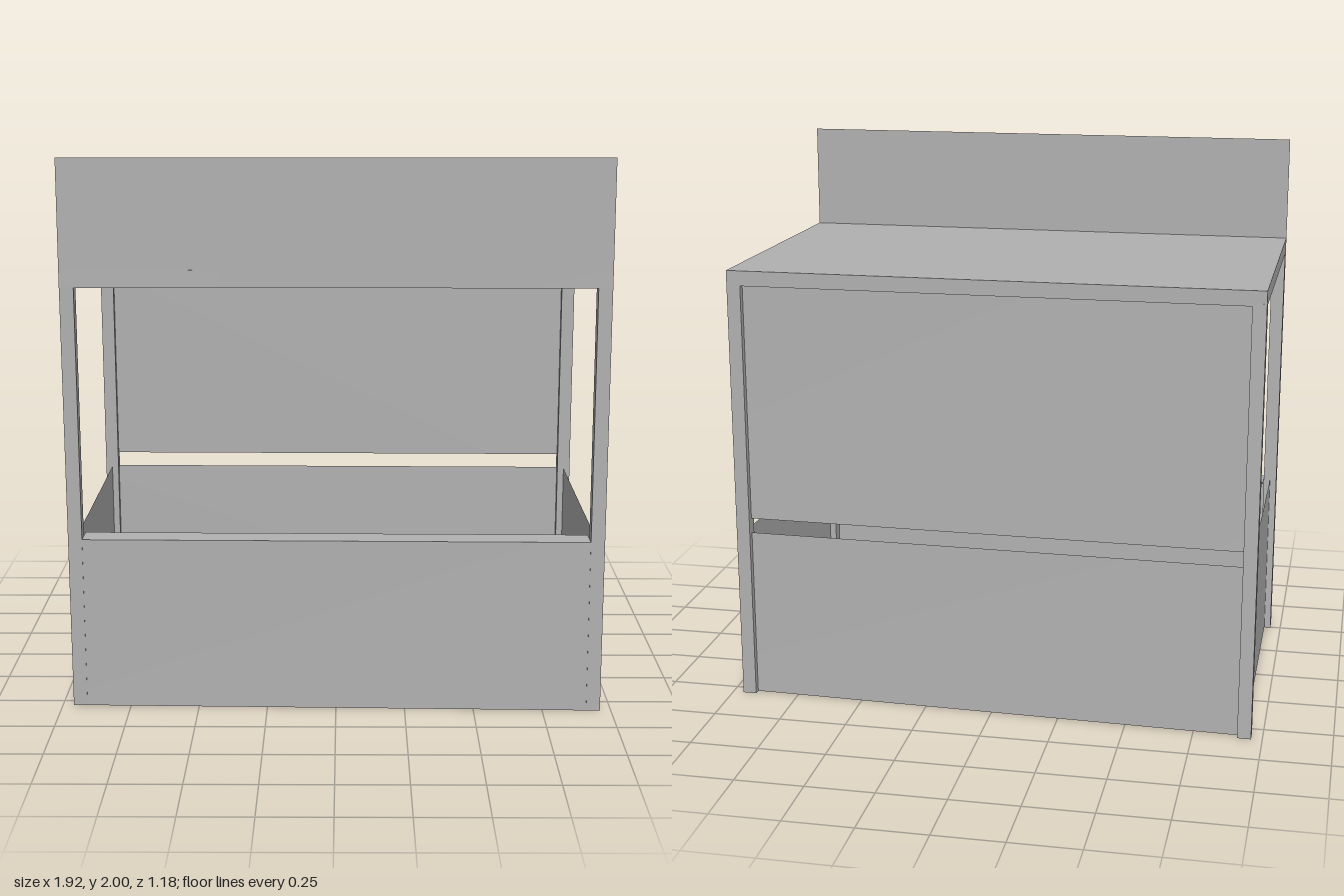
import * as THREE from 'three';

export function createModel() {
  const model = new THREE.Group();
  model.name = 'marketStall';
  const grey = new THREE.MeshStandardMaterial({ color: 0xb2b2b2, side: THREE.DoubleSide });
  grey.name = 'plain grey';

  const W = 0.96, FRONT = 0.59, BACK = -0.545, T = 0.05, LEAN = 0.045;
  const MID = T / 2, LOW = 0.635, SLAB = 0.055;
  const roofY = z => 1.619 - z * 0.012; // roof rises gently to the back
  // The frame twists: on the -x side it drifts backwards towards the ground
  const drift = (x, y) => -LEAN * (W - x) / (2 * W) * Math.max(0, 1 - y / 1.6);

  function add(name, geometry) {
    const mesh = new THREE.Mesh(geometry, grey);
    mesh.name = name;
    model.add(mesh);
  }

  // Box between two corners, with a rule that moves each vertex
  function block(name, [x0, y0, z0], [x1, y1, z1], rule) {
    const g = new THREE.BoxGeometry(x1 - x0, y1 - y0, z1 - z0);
    g.translate((x0 + x1) / 2, (y0 + y1) / 2, (z0 + z1) / 2);
    const p = g.attributes.position;
    for (let i = 0; i < p.count; i++) {
      p.setXYZ(i, ...rule(p.getX(i), p.getY(i), p.getZ(i)));
    }
    g.computeVertexNormals();
    add(name, g);
  }
  const twist = (x, y, z) => [x, y, z + drift(x, y)];

  // Thin upright sheet from (xa, za) to (xb, zb), following the twist
  function sheet(name, [xa, za], [xb, zb], y0, y1) {
    const corners = [[xa, y0, za], [xb, y0, zb], [xb, y1, zb], [xa, y1, za]];
    const g = new THREE.BufferGeometry();
    g.setAttribute('position', new THREE.Float32BufferAttribute(
      corners.flatMap(c => twist(...c)), 3));
    g.setIndex([0, 1, 2, 0, 2, 3]);
    g.computeVertexNormals();
    add(name, g);
  }

  // Corner posts and side panels, left and right
  for (const [label, s] of [['left', 1], ['right', -1]]) {
    const xa = s > 0 ? W - T : -W, xb = xa + T;
    block(label + 'FrontPost', [xa, 0, FRONT - T], [xb, 1.57, FRONT], twist);
    block(label + 'BackPost', [xa, 0, BACK], [xb, 1.58, BACK + T], twist);
    const x = s * (W - MID);
    sheet(label + 'SidePanel', [x, FRONT - MID], [x, BACK + MID], 0, LOW);
  }

  // Front and back panels
  const inner = W - T, zBack = BACK + MID;
  sheet('frontPanel', [-inner, FRONT - 0.002], [inner, FRONT - 0.002], 0, LOW);
  sheet('lowerBackPanel', [inner, zBack], [-inner, zBack], 0, LOW);
  sheet('upperBackPanel', [inner, zBack], [-inner, zBack], 0.69, 1.575);

  // Counter shelf behind the front panel
  block('counter', [-inner, LOW - 0.006, FRONT - 0.1], [inner, LOW, FRONT - 0.002], twist);

  // Sloping roof slab
  block('roof', [-W, 0, BACK], [W, 1, FRONT],
    (x, y, z) => [x, roofY(z) - (1 - y) * SLAB, z]);

  // Tall sign board above the opening
  sheet('signBoard', [-W, FRONT + 0.001], [W, FRONT + 0.001], 1.55, 2);

  return model;
}
